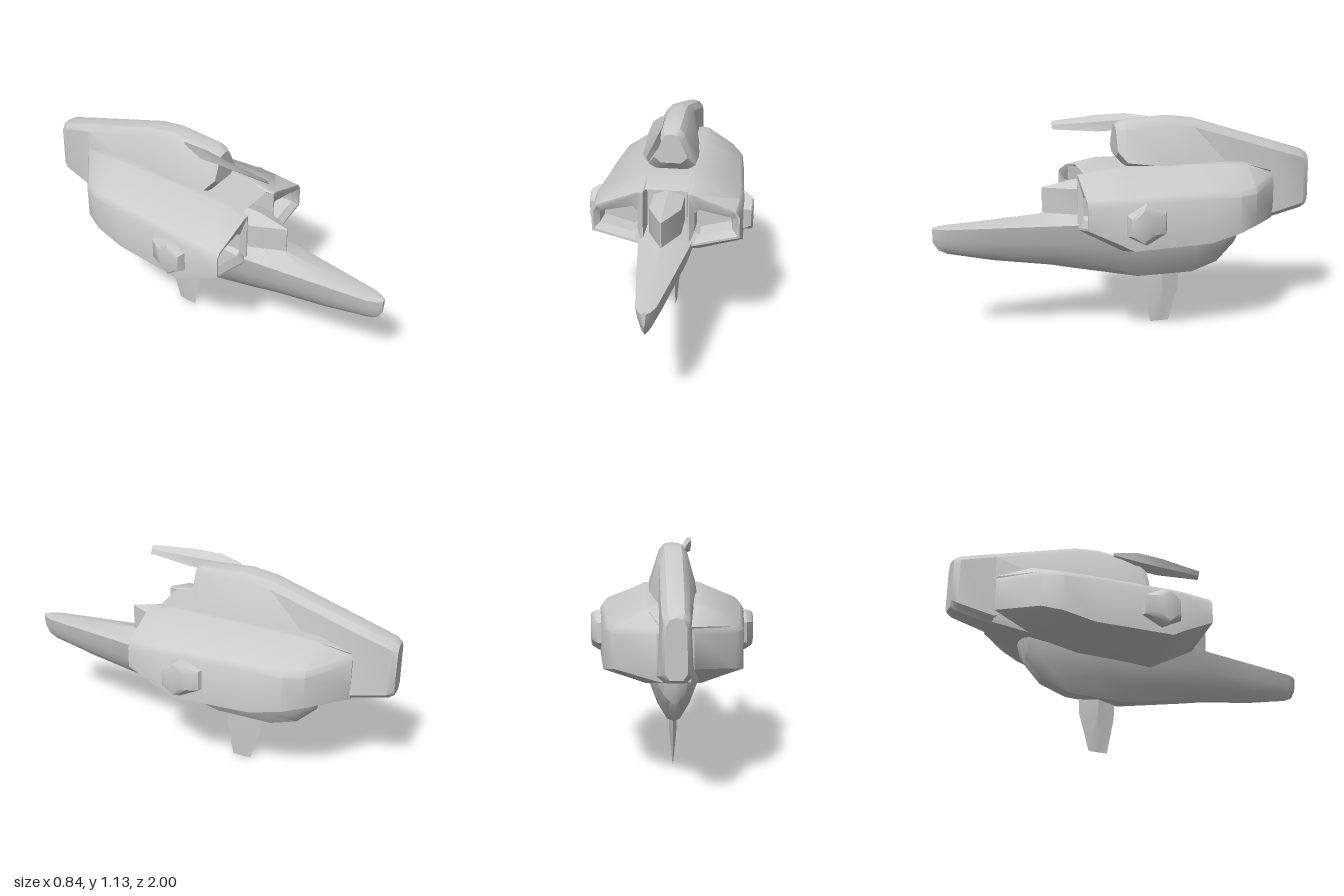
import * as THREE from 'three';
import { toCreasedNormals } from 'three/addons/utils/BufferGeometryUtils.js';

const material = new THREE.MeshStandardMaterial({ color: 0xcccccc, side: THREE.DoubleSide });

// Skin over closed rings of [x, y, z], counter-clockwise from +z, ordered front to back.
function loft(name, rings, capFront = true, capBack = true, crease = 0.6) {
  const n = rings[0].length, pos = [], index = [];
  rings.forEach(r => r.forEach(p => pos.push(...p)));
  for (let i = 0; i < rings.length - 1; i++) {
    for (let j = 0; j < n; j++) {
      const a = i * n + j, b = i * n + (j + 1) % n;
      index.push(a, a + n, b, a + n, b + n, b);
    }
  }
  const cap = (i, flip) => {
    const c = pos.length / 3;
    pos.push(...[0, 1, 2].map(k => rings[i].reduce((s, p) => s + p[k], 0) / n));
    for (let j = 0; j < n; j++) {
      const a = i * n + j, b = i * n + (j + 1) % n;
      index.push(...(flip ? [c, b, a] : [c, a, b]));
    }
  };
  if (capFront) cap(0, false);
  if (capBack) cap(rings.length - 1, true);
  const geo = new THREE.BufferGeometry();
  geo.setAttribute('position', new THREE.Float32BufferAttribute(pos, 3));
  geo.setIndex(index);
  const mesh = new THREE.Mesh(toCreasedNormals(geo, crease), material);
  mesh.name = name;
  return mesh;
}

// Full ring from the right-hand half, listed from bottom centre to top centre.
function mirrored(z, half) {
  const right = half.map(([x, y, pz = z]) => [x, y, pz]);
  const left = right.filter(p => p[0] > 0).reverse().map(([x, y, pz]) => [-x, y, pz]);
  return [...right, ...left];
}

export function createModel() {
  const model = new THREE.Group();
  model.name = 'spacecraft';

  // Lower hull with pointed nose: z, bottom, half width, deck edge, deck centre
  model.add(loft('lowerHull', [
    [1.0, 0.54, 0.01, 0.612, 0.62],
    [0.975, 0.495, 0.03, 0.612, 0.62],
    [0.93, 0.473, 0.048, 0.612, 0.622],
    [0.7, 0.42, 0.08, 0.612, 0.632],
    [0.4, 0.37, 0.12, 0.612, 0.655],
    [0.28, 0.342, 0.135, 0.612, 0.665],
    [-0.07, 0.265, 0.15, 0.61, 0.66],
    [-0.36, 0.265, 0.145, 0.61, 0.64],
    [-0.5, 0.31, 0.125, 0.6, 0.62],
    [-0.6, 0.41, 0.1, 0.6, 0.61],
    [-0.63, 0.52, 0.08, 0.6, 0.61],
  ].map(([z, yb, w, ye, yc]) => mirrored(z, [
    [0, yb], [w * 0.22, yb + 0.012], [w * 0.55, yb + (ye - yb) * 0.27],
    [w * 0.82, yb + (ye - yb) * 0.58], [w, ye], [0, yc],
  ]))));

  // Wide main hull: z, bottom, bottom half width, outer x, outer low y, outer high y, roof half width, roof y
  const hull = [
    [0.28, 0.59, 0.14, 0.37, 0.65, 0.76, 0.14, 0.87],
    [0.13, 0.505, 0.14, 0.376, 0.575, 0.765, 0.14, 0.896],
    [0.05, 0.46, 0.14, 0.376, 0.53, 0.765, 0.14, 0.895],
    [-0.36, 0.46, 0.14, 0.345, 0.53, 0.76, 0.14, 0.888],
    [-0.52, 0.495, 0.13, 0.328, 0.565, 0.757, 0.135, 0.882],
    [-0.62, 0.518, 0.12, 0.285, 0.587, 0.755, 0.13, 0.876],
    [-0.79, 0.56, 0.07, 0.085, 0.62, 0.775, 0.07, 0.815],
  ];
  model.add(loft('mainHull', hull.map(([z, yb, xb, xo, yl, yh, xt, yt], i) => {
    const notch = i === 0 ? 0.24 : z, xc = xt * 0.75;
    return mirrored(z, [
      [0, yb, notch], [xc, yb, notch], [xc * 1.08, yb], [xb, yb], [xo, yl], [xo, yh],
      [xo - 0.02, yh + 0.03], [xt, yt], [xc * 1.08, yt], [xc, yt, notch], [0, yt, notch],
    ]);
  }), false, true));

  // Intake faces with recessed panels
  const outline = [[0.113, 0.59], [0.14, 0.59], [0.37, 0.65], [0.37, 0.76], [0.35, 0.79], [0.14, 0.87], [0.113, 0.87]];
  const rim = [[0.12, 0.6], [0.142, 0.602], [0.36, 0.659], [0.36, 0.756], [0.343, 0.782], [0.14, 0.858], [0.12, 0.858]];
  const opening = [[0.143, 0.662], [0.168, 0.643], [0.332, 0.686], [0.332, 0.738], [0.325, 0.748], [0.168, 0.782], [0.143, 0.76]];
  const panel = [[0.147, 0.666], [0.17, 0.65], [0.322, 0.692], [0.322, 0.726], [0.318, 0.734], [0.17, 0.775], [0.147, 0.756]];
  for (const side of [1, -1]) {
    const ring = (pts, z) => {
      const r = pts.map(([x, y]) => [x * side, y, z]);
      return side > 0 ? r.reverse() : r;
    };
    model.add(loft(side > 0 ? 'leftIntake' : 'rightIntake',
      [ring(outline, 0.28), ring(rim, 0.28), ring(opening, 0.255), ring(panel, 0.17)], false, true));
  }

  // Channel between the intakes
  const channel = (z, zTop, top) => [
    [-0.112, 0.58, z], [0.112, 0.58, z], [0.112, top, z],
    [0.105, top, zTop], [-0.105, top, zTop], [-0.112, top, z],
  ].reverse();
  model.add(loft('cockpitChannel', [channel(0.28, 0.24, 0.868), channel(0.12, 0.12, 0.842)], false, true));

  // Wedge-shaped cockpit
  model.add(loft('cockpit', [[0.44, 0.003, 0.79], [0.28, 0.08, 0.82], [0.1, 0.08, 0.82]]
    .map(([z, w, peak]) => mirrored(z, [[0, 0.655], [w, 0.655], [w, 0.788], [0, peak]]))));

  // Dorsal spine running into the tail: z, bottom, bottom half width, top half width, top
  model.add(loft('dorsalSpine', [
    [0.06, 0.94, 0.085, 0.05, 1.095],
    [0.015, 0.885, 0.12, 0.068, 1.118],
    [-0.22, 0.85, 0.12, 0.07, 1.13],
    [-0.35, 0.76, 0.12, 0.07, 1.112],
    [-0.79, 0.558, 0.085, 0.066, 0.97],
    [-0.97, 0.597, 0.067, 0.06, 0.912],
    [-1.0, 0.615, 0.05, 0.046, 0.89],
  ].map(([z, yb, wb, wt, yt]) => mirrored(z, [
    [0, yb], [wb * 0.6, yb], [wb, yb + 0.03], [wt, yt - 0.04], [wt * 0.6, yt - 0.008], [0, yt],
  ]))));

  // Tilted blade beside the spine: z, centre x, centre y, half height, half thickness
  model.add(loft('sideBlade', [
    [0.365, -0.08, 1.09, 0.024, 0.004],
    [0.13, -0.075, 1.09, 0.046, 0.016],
    [-0.02, -0.073, 1.092, 0.046, 0.026],
    [-0.14, -0.062, 1.105, 0.012, 0.005],
  ].map(([z, cx, cy, h, t]) => [[0.84 * t, 0.54 * t], [-0.54 * h, 0.84 * h], [-0.84 * t, -0.54 * t], [0.54 * h, -0.84 * h]]
    .map(([x, y]) => [cx + x, cy + y, z])), true, true, 0.3));

  // Ventral fin, lofted downwards: height, front, back, half thickness
  const fin = loft('ventralFin', [
    [0.32, 0.1, 0.295, 0.02],
    [0.19, 0.105, 0.295, 0.02],
    [0, 0.14, 0.24, 0.002],
  ].map(([h, front, back, w]) => mirrored(h, [[0, front], [w, (front + back) / 2], [0, back]])), true, true, 0.3);
  fin.rotation.x = -Math.PI / 2;
  model.add(fin);

  // Hexagonal side pods: distance out, centre z, half length, half height
  for (const side of [1, -1]) {
    const pod = loft(side > 0 ? 'leftPod' : 'rightPod', [
      [0.422, 0.015, 0.045, 0.08],
      [0.415, 0.01, 0.065, 0.09],
      [0.383, -0.01, 0.1, 0.105],
      [0.33, -0.02, 0.115, 0.108],
    ].map(([out, cz, rz, ry]) => Array.from({ length: 6 }, (_, k) => {
      const a = Math.PI / 6 + k * Math.PI / 3;
      return [-side * cz + rz * 1.13 * Math.cos(a), 0.665 + ry * Math.sin(a), out];
    })));
    pod.rotation.y = side * Math.PI / 2;
    model.add(pod);
  }

  return model;
}
